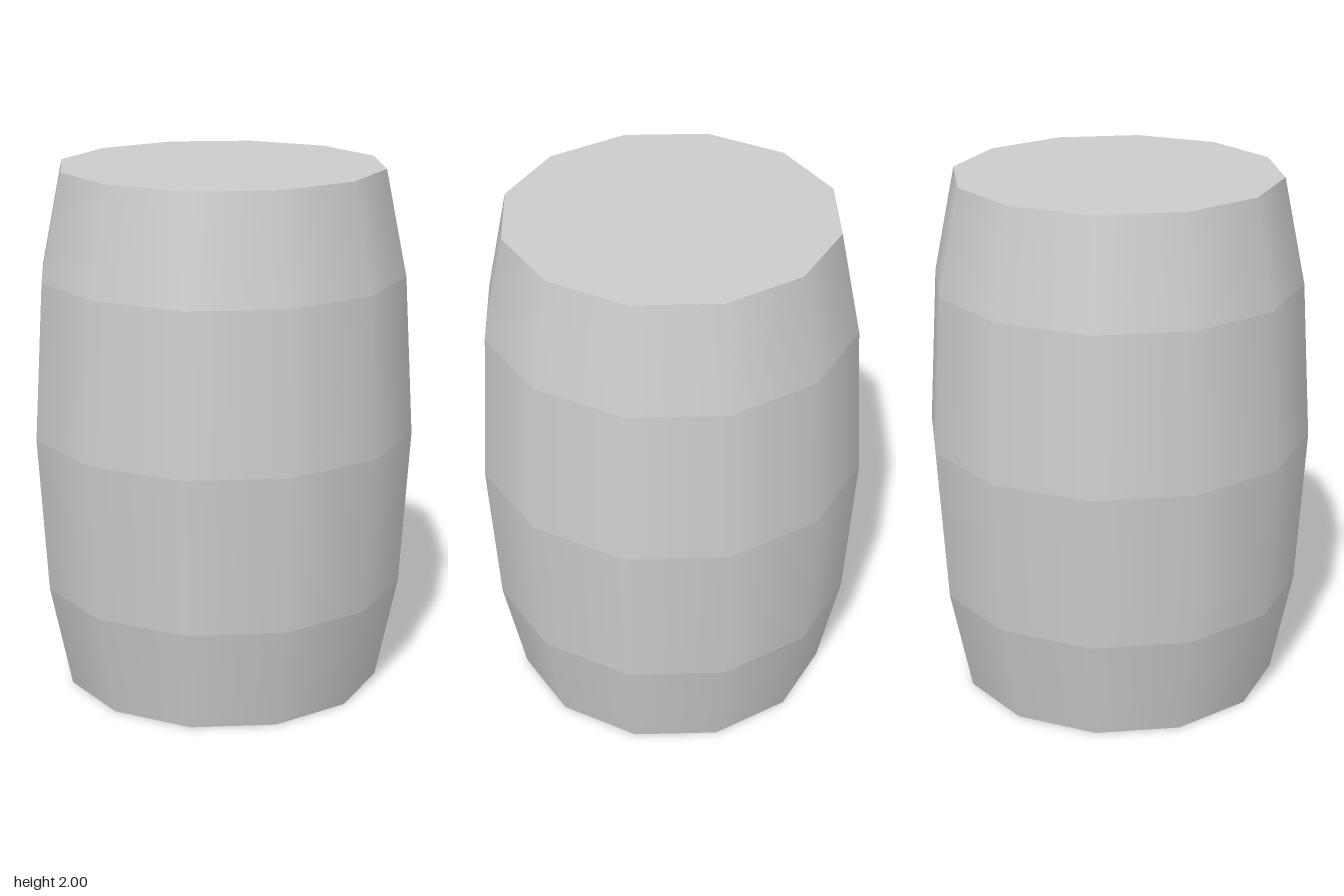
import * as THREE from 'three';
import { mergeGeometries } from 'three/addons/utils/BufferGeometryUtils.js';

const SIDES = 12;
// [height, radius] of each ring, bottom to top
const RINGS = [[0, 0.615], [0.4, 0.697], [1, 0.733], [1.6, 0.697], [2, 0.615]];

export function createModel() {
  const group = new THREE.Group();
  group.name = 'barrel';
  const grey = new THREE.MeshStandardMaterial({ color: 0xcccccc });
  grey.name = 'light grey';

  const add = (name, geometry) => {
    const mesh = new THREE.Mesh(geometry, grey);
    mesh.name = name;
    group.add(mesh);
    return mesh;
  };

  // Bulging wall: bands smooth around the barrel, with creases between them
  const bands = RINGS.slice(1).map(([top, topRadius], i) => {
    const [bottom, bottomRadius] = RINGS[i];
    return new THREE.CylinderGeometry(topRadius, bottomRadius, top - bottom, SIDES, 1, true)
      .translate(0, (top + bottom) / 2, 0);
  });
  add('wall', mergeGeometries(bands));

  // Flat ends, with corners lined up with the wall
  const end = new THREE.CircleGeometry(RINGS[0][1], SIDES);
  add('lid', end.clone().rotateX(-Math.PI / 2)).position.y = 2;
  add('base', end.clone().rotateX(Math.PI / 2));

  return group;
}
